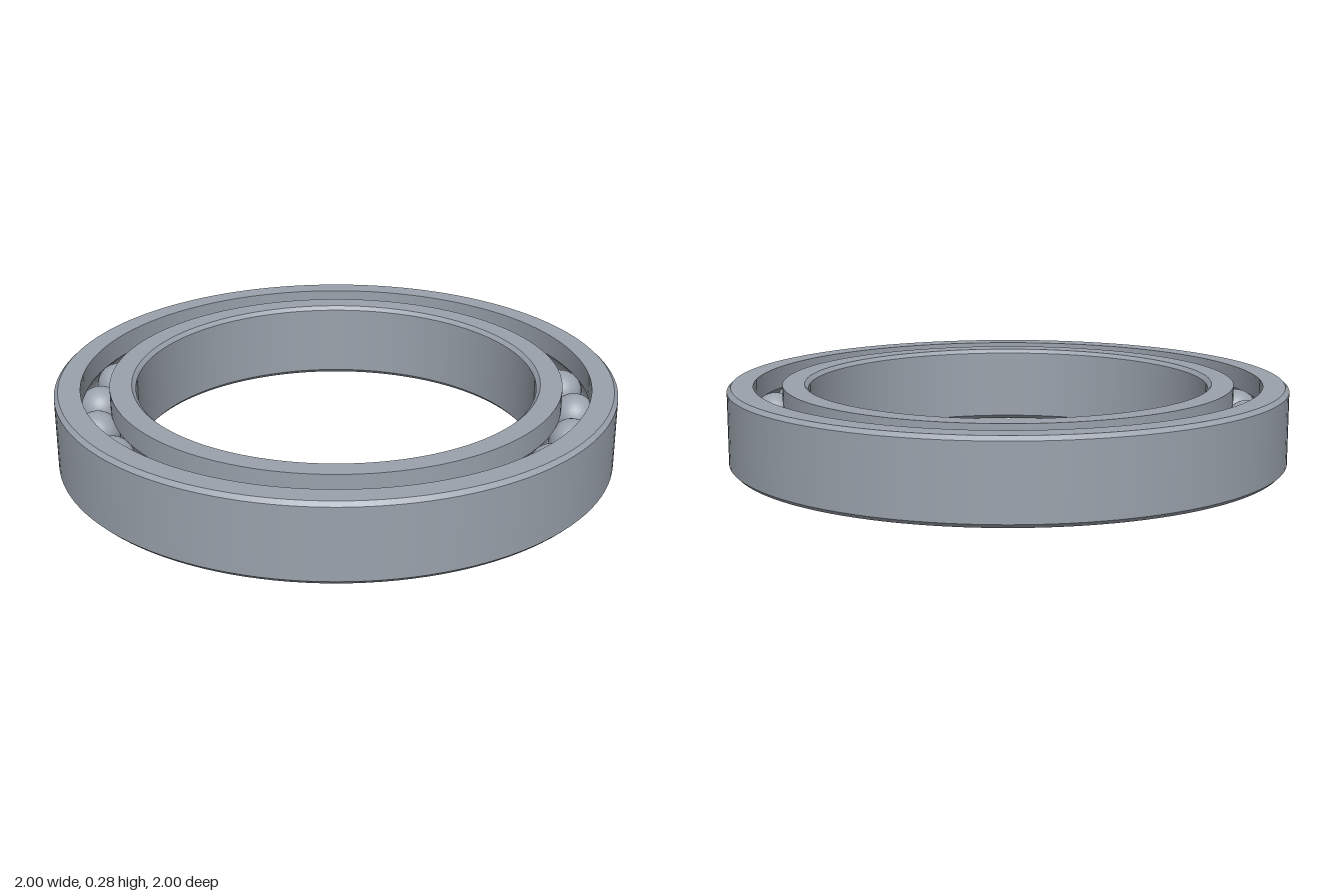
import * as THREE from 'three';
import { mergeGeometries } from 'three/addons/utils/BufferGeometryUtils.js';

const HEIGHT = 0.285, MID = HEIGHT / 2, CHAMFER = 0.014;
const PITCH = 0.857, BALL_RADIUS = 0.08, BALL_COUNT = 24;

// Revolve each run of profile points separately so the edges between runs stay crisp
function revolve(runs) {
  return mergeGeometries(runs.map((run) =>
    new THREE.LatheGeometry(run.map(([r, y]) => new THREE.Vector2(r, y)), 128)));
}

// Straight runs joining consecutive points
function straight(points) {
  return points.slice(1).map((p, i) => [points[i], p]);
}

// Arc of the ball groove where it cuts a wall of radius wallR
function groove(wallR) {
  const offset = wallR - PITCH;
  const half = Math.acos(Math.abs(offset) / BALL_RADIUS);
  const side = Math.sign(offset);
  const arc = [];
  for (let i = 0; i <= 12; i++) {
    const a = half * (1 - i / 6) * side;
    arc.push([PITCH + side * BALL_RADIUS * Math.cos(a), MID + BALL_RADIUS * Math.sin(a)]);
  }
  return arc;
}

export function createModel() {
  const model = new THREE.Group();
  model.name = 'ballBearing';
  const steel = new THREE.MeshStandardMaterial({ color: 0x9aa2ac });
  steel.name = 'steel';

  const add = (name, geometry, parent = model) => {
    const mesh = new THREE.Mesh(geometry, steel);
    mesh.name = name;
    parent.add(mesh);
    return mesh;
  };

  // Outer ring: chamfered outside, grooved inside
  const outerWall = 0.908, outerGroove = groove(outerWall);
  add('outerRing', revolve([
    ...straight([
      [outerWall, 0], [1 - CHAMFER, 0], [1, CHAMFER], [1, HEIGHT - CHAMFER],
      [1 - CHAMFER, HEIGHT], [outerWall, HEIGHT], outerGroove[0],
    ]),
    outerGroove,
    [outerGroove.at(-1), [outerWall, 0]],
  ]));

  // Inner ring: grooved outside, chamfered bore
  const innerWall = 0.806, bore = 0.714, innerGroove = groove(innerWall);
  add('innerRing', revolve([
    [[innerWall, 0], innerGroove[0]],
    innerGroove,
    ...straight([
      innerGroove.at(-1), [innerWall, HEIGHT], [bore + CHAMFER, HEIGHT],
      [bore, HEIGHT - CHAMFER], [bore, CHAMFER], [bore + CHAMFER, 0], [innerWall, 0],
    ]),
  ]));

  // Evenly spaced balls running in the grooves
  const balls = new THREE.Group();
  balls.name = 'balls';
  model.add(balls);
  const ballGeometry = new THREE.SphereGeometry(BALL_RADIUS, 32, 20);
  const start = THREE.MathUtils.degToRad(3.2);
  for (let i = 0; i < BALL_COUNT; i++) {
    const a = start + (i / BALL_COUNT) * Math.PI * 2;
    add(`ball${i + 1}`, ballGeometry, balls)
      .position.set(PITCH * Math.cos(a), MID, -PITCH * Math.sin(a));
  }
  return model;
}
